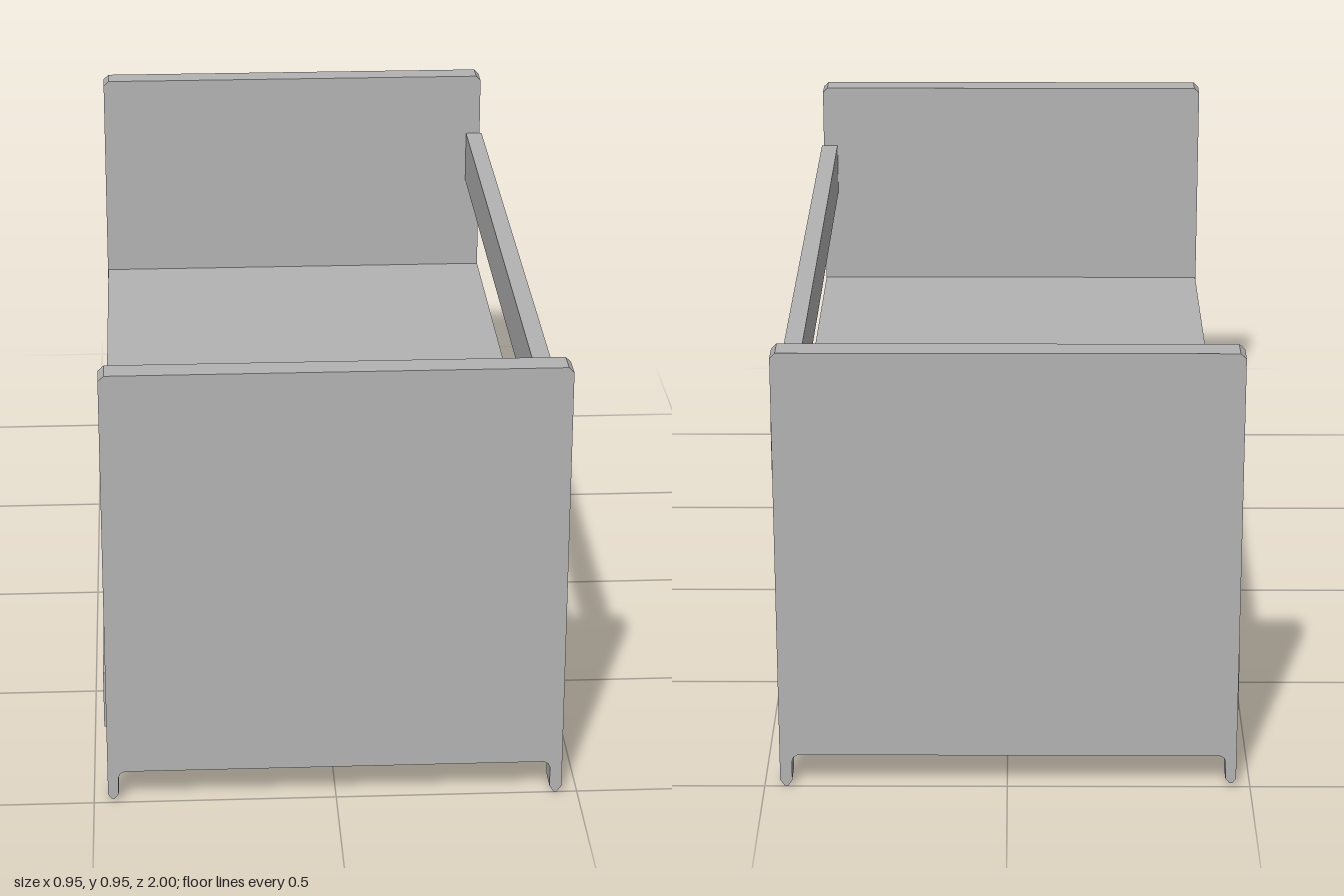
import * as THREE from 'three';

export function createModel() {
  const model = new THREE.Group();
  model.name = 'bed';
  const grey = new THREE.MeshStandardMaterial({ color: 0xb3b3b3 });
  grey.name = 'grey';

  const END = 1.0, INNER = 0.943; // outer and inner z of the end boards

  // End board outline: chamfered top corners and two short pointed feet
  const outline = new THREE.Shape([
    [-0.471, 0.019], [-0.464, 0.009], [-0.457, 0.009], [-0.449, 0.019],
    [-0.449, 0.057], [-0.445, 0.066], [-0.436, 0.071],
    [0.431, 0.071], [0.439, 0.066], [0.443, 0.057],
    [0.443, 0.014], [0.452, 0], [0.458, 0], [0.468, 0.014],
    [0.468, 0.938], [0.457, 0.949], [-0.459, 0.949], [-0.471, 0.938],
  ].map(([x, y]) => new THREE.Vector2(x, y)));
  const boardGeometry = new THREE.ExtrudeGeometry(outline, { depth: END - INNER, bevelEnabled: false });

  for (const [name, z] of [['footboard', INNER], ['headboard', -END]]) {
    const board = new THREE.Mesh(boardGeometry, grey);
    board.name = name;
    board.position.z = z;
    model.add(board);
  }

  // Lengthwise boxes between the end boards
  function addBeam(name, x0, x1, y0, y1) {
    const beam = new THREE.Mesh(new THREE.BoxGeometry(x1 - x0, y1 - y0, 2 * INNER), grey);
    beam.name = name;
    beam.position.set((x0 + x1) / 2, (y0 + y1) / 2, 0);
    model.add(beam);
  }
  addBeam('mattress', -0.47, 0.468, 0.33, 0.452);
  addBeam('guardRail', 0.434, 0.473, 0.677, 0.8);
  addBeam('leftLowerRail', 0.429, 0.468, 0.147, 0.27);
  addBeam('rightLowerRail', -0.476, -0.437, 0.147, 0.27);

  return model;
}
